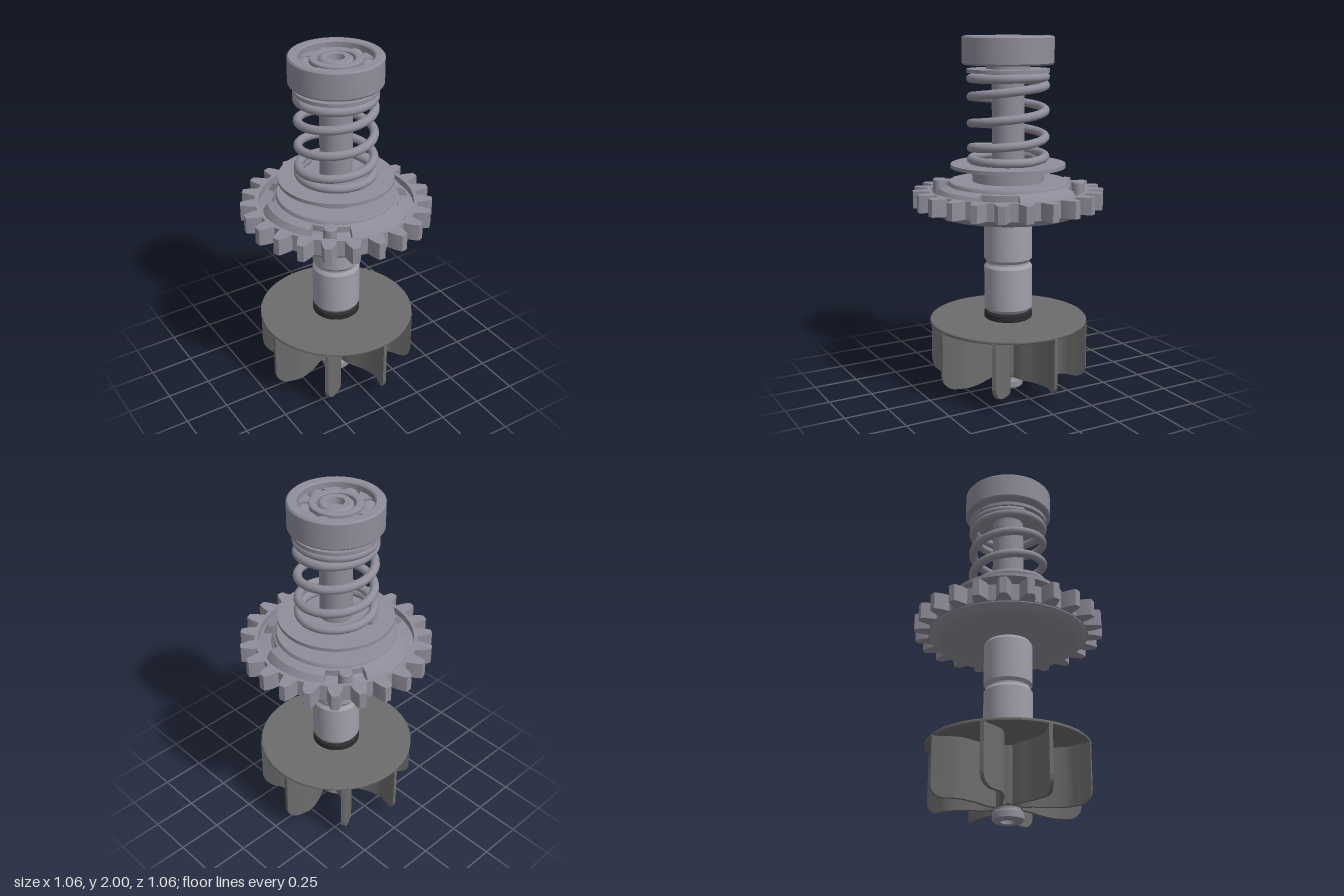
import * as THREE from 'three';
import { toCreasedNormals } from 'three/addons/utils/BufferGeometryUtils.js';

const steel = new THREE.MeshStandardMaterial({ color: 0x8f8d9a });
const bright = new THREE.MeshStandardMaterial({ color: 0xa19faa });
const plastic = new THREE.MeshStandardMaterial({ color: 0x6c6c6c });
const rubber = new THREE.MeshStandardMaterial({ color: 0x2c2c2e });

export function createModel() {
  const model = new THREE.Group();

  const add = (name, geo, mat, parent = model) => {
    const mesh = new THREE.Mesh(geo, mat);
    mesh.name = name;
    parent.add(mesh);
    return mesh;
  };
  // Turned part: profile of [radius, y] from the bottom, outwards and up
  const turn = (name, pts, mat, parent) =>
    add(name, toCreasedNormals(new THREE.LatheGeometry(pts.map(p => new THREE.Vector2(...p)), 72), 0.5), mat, parent);
  // Flat shape raised from y0 to y1
  const raise = (shape, y0, y1) =>
    new THREE.ExtrudeGeometry(shape, { depth: y1 - y0, bevelEnabled: false, curveSegments: 40 })
      .rotateX(-Math.PI / 2).translate(0, y0, 0);
  const circle = (r, x = 0, y = 0) => new THREE.Path().absarc(x, y, r, 0, Math.PI * 2);
  const deg = THREE.MathUtils.degToRad;

  // Shaft: bottom end, grooved lower journal and slim upper spindle
  turn('shaftEnd', [[0, 0.03], [0.04, 0.03], [0.04, 0], [0.075, 0], [0.085, 0.01], [0.085, 0.045],
    [0.078, 0.053], [0.068, 0.055], [0.068, 0.1], [0, 0.1]], steel);
  turn('lowerShaft', [[0, 0.46], [0.122, 0.46], [0.136, 0.48], [0.136, 0.718], [0.122, 0.738], [0.122, 0.748],
    [0.136, 0.766], [0.136, 1.003], [0.125, 1.02], [0, 1.02]], bright);
  turn('upperShaft', [[0, 1.2], [0.09, 1.2], [0.09, 1.975], [0.08, 1.985], [0.045, 1.985], [0.04, 1.95], [0, 1.945]], steel);
  turn('seal', [[0, 0.415], [0.13, 0.415], [0.136, 0.42], [0.136, 0.452], [0.125, 0.462], [0, 0.462]], rubber);

  // Impeller: cover disc, hub and eight S-curved blades
  const impeller = new THREE.Group();
  impeller.name = 'impeller';
  model.add(impeller);
  turn('impellerDisc', [[0, 0.395], [0.442, 0.395], [0.447, 0.4], [0.447, 0.41], [0.442, 0.415], [0, 0.415]], plastic, impeller);
  turn('impellerHub', [[0, 0.07], [0.07, 0.07], [0.076, 0.08], [0.076, 0.4], [0, 0.4]], plastic, impeller);
  const bend = new THREE.SplineCurve([[0.04, 0], [0.12, 0.012], [0.21, 0.058], [0.3, 0.085], [0.37, 0.073], [0.447, 0.048]]
    .map(p => new THREE.Vector2(...p)));
  const blade = new THREE.BoxGeometry(0.021, 0.33, 1, 1, 1, 48);
  const bp = blade.attributes.position;
  for (let i = 0; i < bp.count; i++) {
    const c = bend.getPoint(bp.getZ(i) + 0.5);
    const over = Math.max(0, c.x - 0.377) / 0.07;
    const lift = 0.07 * (1 - Math.sqrt(Math.max(0, 1 - over * over)));
    bp.setXYZ(i, bp.getX(i) + c.y, bp.getY(i) < 0 ? 0.07 + lift : 0.4, c.x);
  }
  blade.computeVertexNormals();
  for (let i = 0; i < 8; i++) add('impellerBlade', blade, plastic, impeller).rotation.y = i * Math.PI / 4;

  // Gear: dished body and toothed ring
  const gear = new THREE.Group();
  gear.name = 'gear';
  model.add(gear);
  turn('gearBody', [[0, 1.02], [0.375, 1.02], [0.395, 1.024], [0.412, 1.033], [0.428, 1.047], [0.442, 1.06], [0.442, 1.068],
    [0.435, 1.07], [0.435, 1.12], [0.4, 1.125], [0.36, 1.13], [0.345, 1.145], [0.345, 1.18], [0.335, 1.185], [0.333, 1.2],
    [0.328, 1.207], [0.2, 1.207], [0.2, 1.285], [0, 1.285]], steel, gear);
  const teeth = 23, flank = [[0.45, 0.042], [0.475, 0.038], [0.505, 0.029], [0.531, 0.018]];
  const outline = [];
  for (let i = 0; i < teeth; i++) {
    const a = deg(-1.5) + i * 2 * Math.PI / teeth;
    const point = (r, w) => outline.push(new THREE.Vector2(r * Math.cos(a + w / r), r * Math.sin(a + w / r)));
    flank.forEach(([r, w]) => point(r, -w));
    [...flank].reverse().forEach(([r, w]) => point(r, w));
    point(0.45, 0.0615);
  }
  const ring = new THREE.Shape(outline);
  ring.holes.push(circle(0.43));
  add('toothedRing', toCreasedNormals(raise(ring, 1.065, 1.16), 0.35), steel, gear);

  // Four sloping lugs: a box bent around the hub
  const lug = new THREE.BoxGeometry(2, 1, 1, 2, 1, 20);
  const lp = lug.attributes.position;
  const lugRadius = [0.325, 0.385, 0.408], lugTop = [1.19, 1.172, 1.135];
  for (let i = 0; i < lp.count; i++) {
    const k = Math.round(lp.getX(i) + 1), a = deg(-8.5 + lp.getZ(i) * 57);
    lp.setXYZ(i, lugRadius[k] * Math.cos(a), lp.getY(i) > 0 ? lugTop[k] : 1.1, lugRadius[k] * Math.sin(a));
  }
  const lugGeo = toCreasedNormals(lug, 0.25);
  for (let i = 0; i < 4; i++) add('gearLug', lugGeo, steel, gear).rotation.y = i * Math.PI / 2;

  // Two locating pins
  for (const s of [1, -1]) {
    const pin = turn('gearPin', [[0, 1.1], [0.037, 1.1], [0.037, 1.202], [0.031, 1.209], [0, 1.209]], steel, gear);
    pin.position.set(0.235 * s, 0, -0.313 * s);
  }

  // Spring seats
  turn('lowerWasher', [[0, 1.283], [0.32, 1.283], [0.32, 1.303], [0, 1.303]], steel);
  turn('upperWasher', [[0, 1.803], [0.228, 1.803], [0.228, 1.823], [0.12, 1.823], [0.12, 1.855], [0, 1.855]], steel);

  // Compression spring with closed ends: [turn, height]
  const rise = [[-0.7, 1.327], [0, 1.33], [0.5, 1.37], [1, 1.427], [3, 1.719], [3.5, 1.765], [4, 1.78], [4.5, 1.781]];
  const coil = [];
  for (let t = -0.7; t <= 4.501; t += 0.05) {
    const k = Math.max(1, rise.findIndex((p, i) => i === rise.length - 1 || p[0] >= t - 1e-6));
    const [t0, y0] = rise[k - 1], [t1, y1] = rise[k];
    const a = t * 2 * Math.PI;
    coil.push(new THREE.Vector3(0.205 * Math.cos(a), y0 + (y1 - y0) * (t - t0) / (t1 - t0), -0.205 * Math.sin(a)));
  }
  add('spring', new THREE.TubeGeometry(new THREE.CatmullRomCurve3(coil), 360, 0.024, 14), steel);
  for (const end of [coil[0], coil[coil.length - 1]]) {
    add('springTip', new THREE.SphereGeometry(0.024, 14, 10), steel).position.copy(end);
  }

  // Ball bearing on top
  const bearing = new THREE.Group();
  bearing.name = 'bearing';
  model.add(bearing);
  turn('outerRace', [[0.08, 1.846], [0.245, 1.846], [0.253, 1.855], [0.253, 1.991], [0.245, 2], [0.205, 2],
    [0.197, 1.992], [0.197, 1.9], [0.08, 1.9]], steel, bearing);
  turn('innerRace', [[0.14, 1.9], [0.14, 1.98], [0.135, 1.985], [0.105, 1.985], [0.1, 1.98], [0.1, 1.9]], steel, bearing);
  const cage = new THREE.Shape().absarc(0, 0, 0.222, 0, Math.PI * 2);
  cage.holes.push(circle(0.1));
  const ballGeo = new THREE.SphereGeometry(0.055, 24, 16);
  for (let i = 0; i < 6; i++) {
    const a = deg(82 + i * 60), x = 0.163 * Math.cos(a), y = 0.163 * Math.sin(a);
    cage.holes.push(circle(0.056, x, y));
    add('bearingBall', ballGeo, steel, bearing).position.set(x, 1.922, -y);
  }
  add('ballCage', toCreasedNormals(raise(cage, 1.945, 1.962), 0.5), steel, bearing);

  return model;
}
